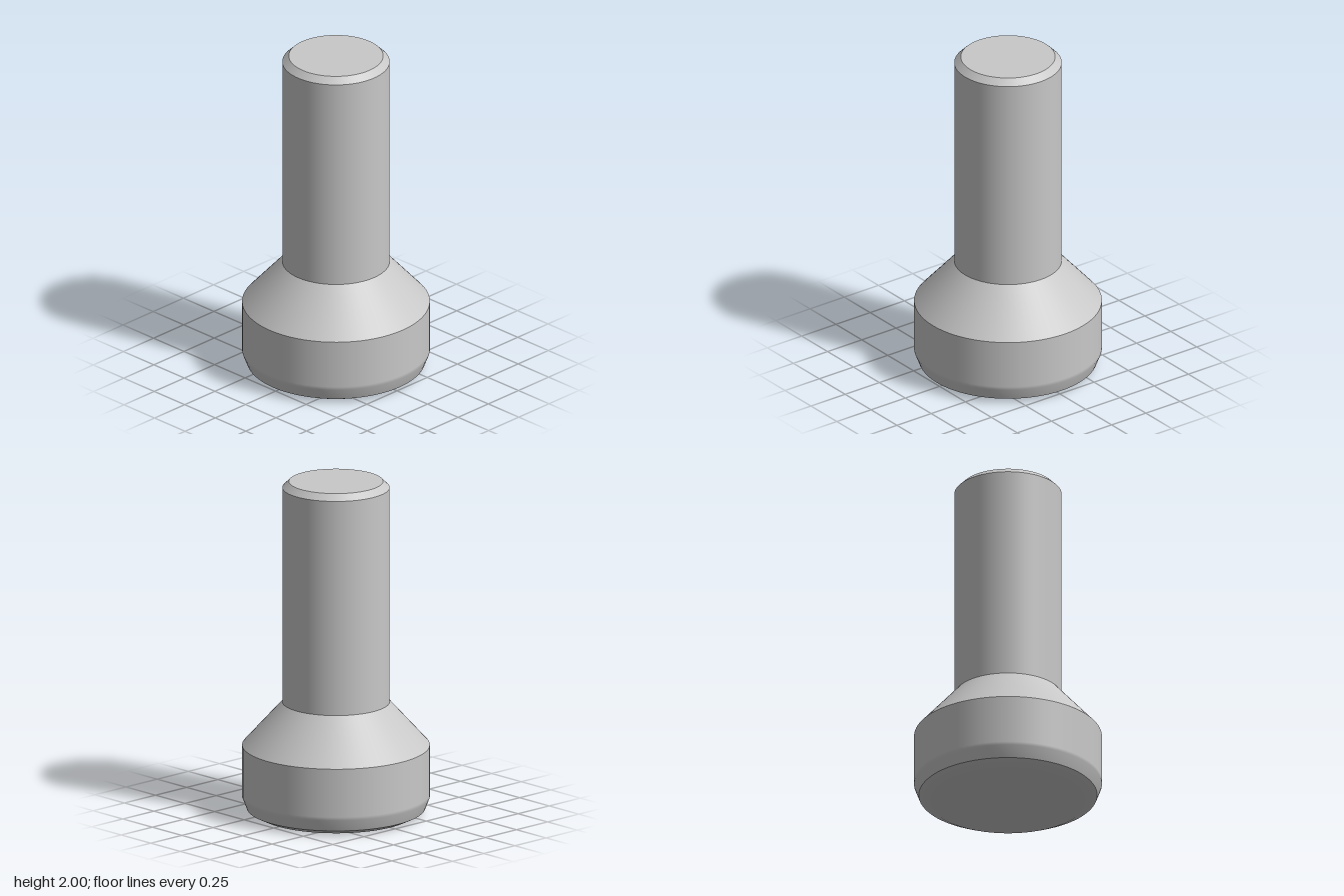
import * as THREE from 'three';

export function createModel() {
  const model = new THREE.Group();
  const grey = new THREE.MeshStandardMaterial({ color: 0xc8c8c8 });
  grey.name = 'plain grey';

  // Each band is a smooth surface of revolution; bands meet in sharp edges.
  function band(name, profile) {
    const points = profile.map(([r, y]) => new THREE.Vector2(r, y));
    const mesh = new THREE.Mesh(new THREE.LatheGeometry(points, 72), grey);
    mesh.name = name;
    model.add(mesh);
  }

  // Wide foot with a softened lower rim
  band('footBase', [[0, 0], [0.44, 0], [0.46, 0], [0.52, 0.03]]);
  band('footSide', [[0.52, 0.03], [0.547, 0.1], [0.547, 0.12], [0.547, 0.41]]);
  // Conical shoulder up to the shaft
  band('shoulder', [[0.547, 0.41], [0.313, 0.67]]);
  // Shaft with a chamfered flat end
  band('shaft', [[0.313, 0.67], [0.313, 1.963]]);
  band('shaftChamfer', [[0.313, 1.963], [0.275, 2]]);
  band('shaftEnd', [[0.275, 2], [0, 2]]);

  return model;
}
